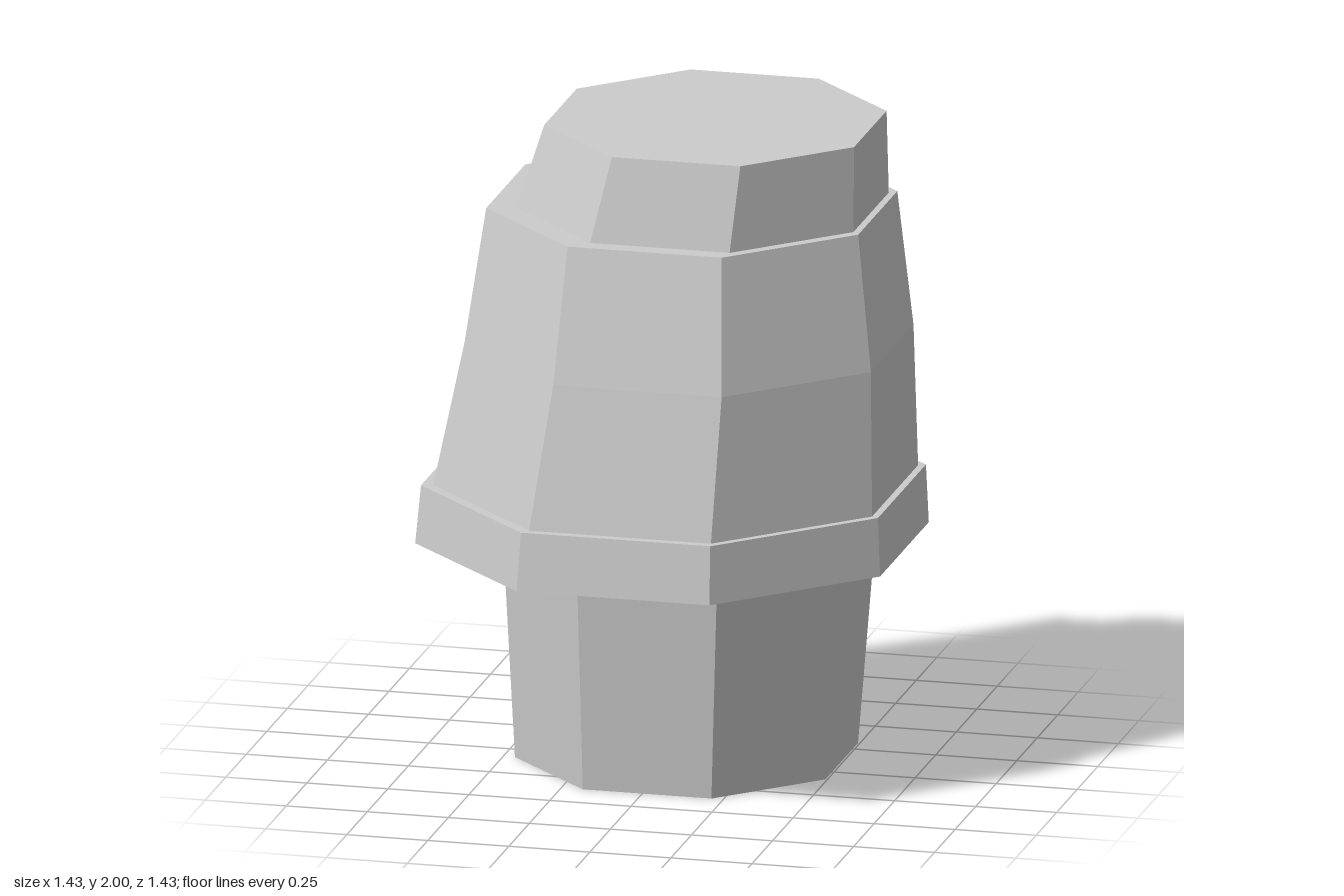
import * as THREE from 'three';

const SIDES = 8;

// One octagon corner; a section is [y, half width across flats, centre x, centre z]
function corner([y, half, cx, cz], i) {
  const a = ((i + 0.5) / SIDES) * Math.PI * 2;
  const r = half / Math.cos(Math.PI / SIDES);
  return [cx + r * Math.sin(a), y, cz + r * Math.cos(a)];
}

// Skin a stack of octagonal sections, optionally closing the ends
function loft(sections, capBottom, capTop) {
  const pos = [];
  const tri = (a, b, c) => pos.push(...a, ...b, ...c);
  const first = sections[0];
  const last = sections[sections.length - 1];
  for (let i = 0; i < SIDES; i++) {
    for (let s = 0; s < sections.length - 1; s++) {
      const a = corner(sections[s], i);
      const b = corner(sections[s], i + 1);
      const c = corner(sections[s + 1], i + 1);
      const d = corner(sections[s + 1], i);
      tri(a, b, c);
      tri(a, c, d);
    }
    if (capBottom) tri([first[2], first[0], first[3]], corner(first, i + 1), corner(first, i));
    if (capTop) tri([last[2], last[0], last[3]], corner(last, i), corner(last, i + 1));
  }
  const geo = new THREE.BufferGeometry();
  geo.setAttribute('position', new THREE.Float32BufferAttribute(pos, 3));
  geo.computeVertexNormals();
  return geo;
}

export function createModel() {
  const group = new THREE.Group();
  const grey = new THREE.MeshStandardMaterial({ color: 0xcccccc, flatShading: true });
  grey.name = 'light grey';

  // Sections where neighbouring parts meet
  const stemTop = [0.71, 0.522, 0.038, -0.067];
  const collarTop = [0.89, 0.705, 0.004, -0.002];
  const bodyBottom = [0.89, 0.677, 0.011, -0.001];
  const bodyTop = [1.74, 0.574, 0.05, -0.043];
  const capBottom = [1.74, 0.52, 0.083, -0.044];

  const add = (name, sections, bottom = false, top = false) => {
    const mesh = new THREE.Mesh(loft(sections, bottom, top), grey);
    mesh.name = name;
    group.add(mesh);
  };

  // Leaning stem that the model stands on
  add('stem', [[0, 0.479, 0.015, -0.117], stemTop], true);
  // Wide collar with its underside and upper ledge
  add('collar', [stemTop, [0.71, 0.717, 0, 0], collarTop, bodyBottom]);
  // Tapering body with a slight bend halfway and a ledge on top
  add('body', [bodyBottom, [1.33, 0.627, 0.049, -0.013], bodyTop, capBottom]);
  // Small off-centre cap
  add('cap', [capBottom, [2, 0.478, 0.123, -0.043]], false, true);

  return group;
}
